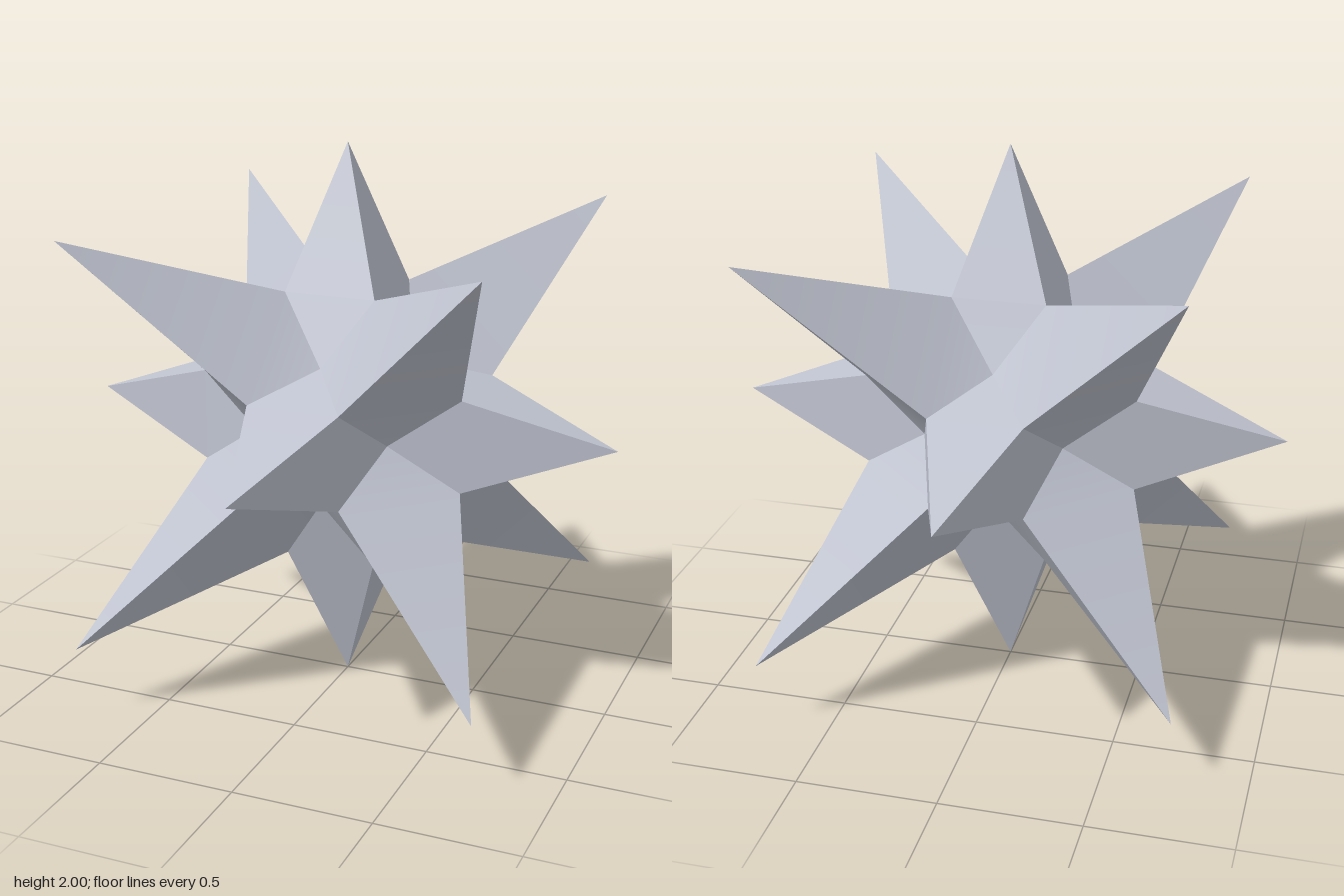
import * as THREE from 'three';
import { toCreasedNormals } from 'three/addons/utils/BufferGeometryUtils.js';

const NEAR = 0.168, FAR = 0.49, VALLEY = 0.25, CORNER = 0.737;

// Non-indexed geometry from a list of corner points, three per face
function fromTriangles(points) {
  const geo = new THREE.BufferGeometry();
  geo.setAttribute('position', new THREE.Float32BufferAttribute(points.flat(), 3));
  geo.computeVertexNormals();
  return toCreasedNormals(geo, 0.3);
}

// Four-sided spike along +z: four kites around the tip
function axisSpikeGeometry() {
  const tip = [0, 0, 1], points = [];
  const kite = [tip, [NEAR, NEAR, FAR], [-NEAR, NEAR, FAR],
    [NEAR, NEAR, FAR], [0, VALLEY, VALLEY], [-NEAR, NEAR, FAR]];
  let turned = kite;
  for (let i = 0; i < 4; i++) {
    points.push(...turned);
    turned = turned.map(([x, y, z]) => [-y, x, z]);
  }
  return fromTriangles(points);
}

// Three-sided spike towards (1, 1, 1): three gently folded kites
function cornerSpikeGeometry() {
  const tip = [CORNER, CORNER, CORNER], valley = [0, VALLEY, VALLEY];
  const a = [NEAR, NEAR, FAR], b = [NEAR, FAR, NEAR], points = [];
  let turned = [tip, b, a, valley, a, b];
  for (let i = 0; i < 3; i++) {
    points.push(...turned);
    turned = turned.map(([x, y, z]) => [z, x, y]);
  }
  return fromTriangles(points);
}

export function createModel() {
  const model = new THREE.Group();
  model.name = 'star';
  const paleGrey = new THREE.MeshStandardMaterial({ color: 0xc0c4d0 });
  paleGrey.name = 'paleGrey';

  const addSpike = (name, geometry, rx, ry) => {
    const mesh = new THREE.Mesh(geometry, paleGrey);
    mesh.name = name;
    mesh.rotation.set(rx, ry, 0);
    mesh.position.y = 1;
    model.add(mesh);
  };

  const axisSpike = axisSpikeGeometry(), cornerSpike = cornerSpikeGeometry();
  for (let i = 0; i < 4; i++) {
    const turn = i * Math.PI / 2;
    addSpike('sideSpike', axisSpike, 0, turn);
    addSpike('upperCornerSpike', cornerSpike, 0, turn);
    addSpike('lowerCornerSpike', cornerSpike, Math.PI, turn);
  }
  addSpike('topSpike', axisSpike, -Math.PI / 2, 0);
  addSpike('bottomSpike', axisSpike, Math.PI / 2, 0);
  return model;
}
